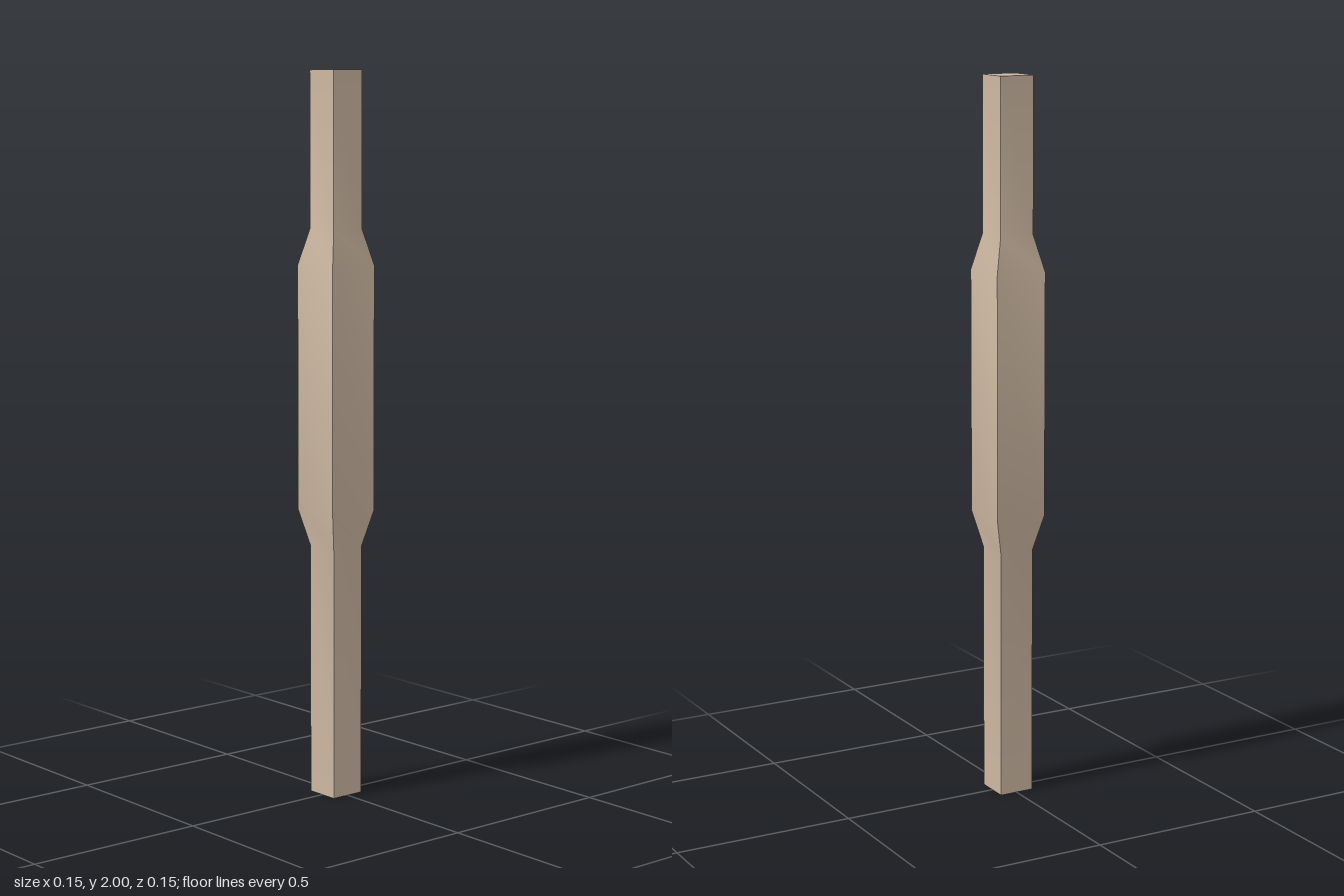
import * as THREE from 'three';
import { toCreasedNormals } from 'three/addons/utils/BufferGeometryUtils.js';

// Profile from bottom to top: [half width, height]
const PROFILE = [
  [0, 0],
  [0.05, 0],
  [0.05, 0.7],
  [0.074, 0.8],
  [0.074, 1.475],
  [0.05, 1.575],
  [0.05, 2],
  [0, 2],
];

export function createModel() {
  const group = new THREE.Group();
  group.name = 'woodenPost';

  // Square post with a thicker middle: a four-sided lathe, turned so its flats face the axes
  const points = PROFILE.map(([half, y]) => new THREE.Vector2(half * Math.SQRT2, y));
  const lathe = new THREE.LatheGeometry(points, 4, Math.PI / 4);

  // Soft shading along the tapers, sharp corners and ends
  const post = new THREE.Mesh(
    toCreasedNormals(lathe, Math.PI / 6),
    new THREE.MeshStandardMaterial({ color: 0xcdb8a2 }),
  );
  post.name = 'post';
  group.add(post);

  return group;
}
